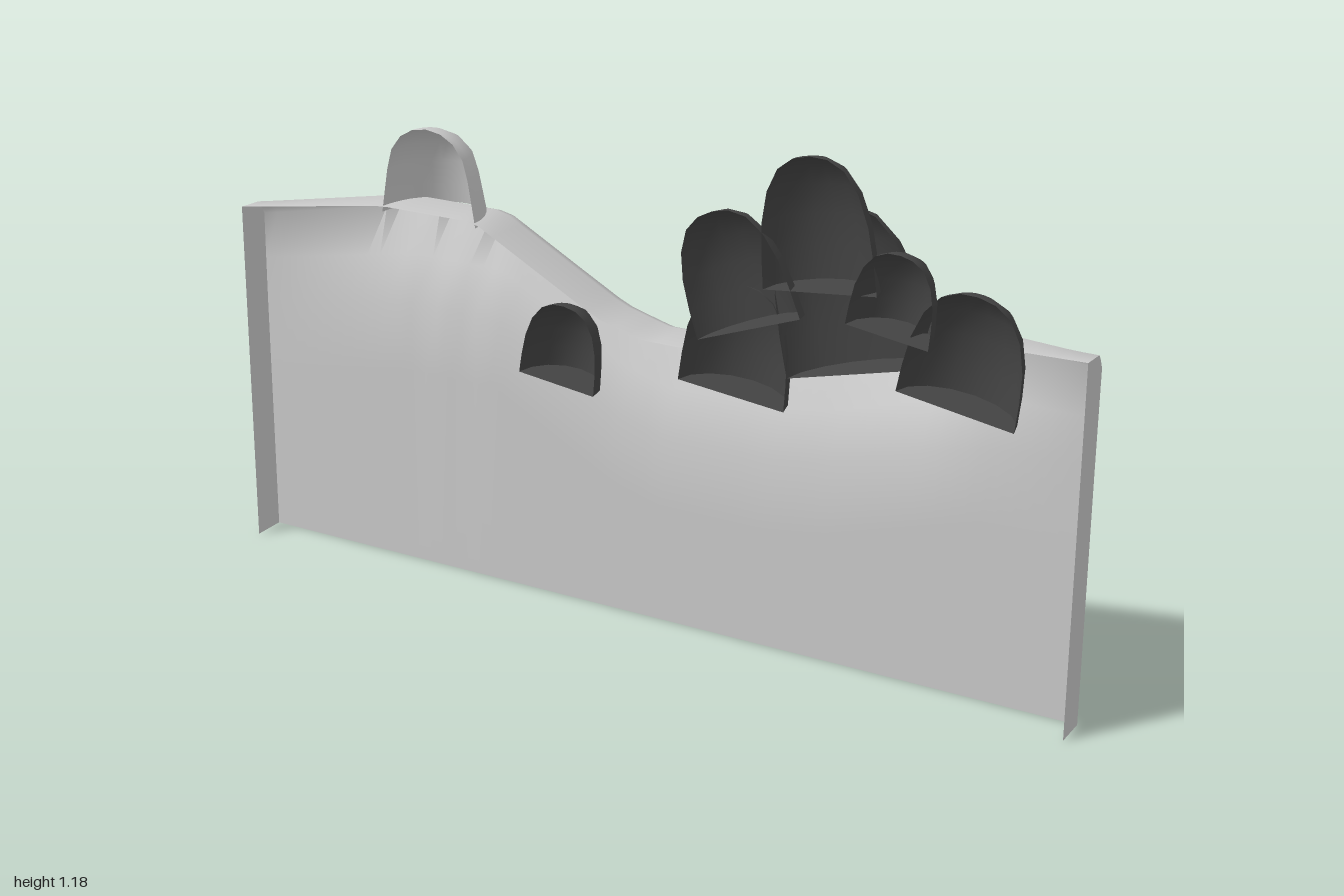
import * as THREE from 'three';
import { toCreasedNormals } from 'three/addons/utils/BufferGeometryUtils.js';

const FRONT = -0.035, BASE = -0.112;
const stone = new THREE.MeshStandardMaterial({ color: 0xcccccc, side: THREE.DoubleSide });
const dark = new THREE.MeshStandardMaterial({ color: 0x444444, side: THREE.DoubleSide });

// Piecewise linear lookup through [x, value] pairs
function lerpTable(table, x) {
  for (let i = 1; i < table.length; i++) {
    const [x0, v0] = table[i - 1], [x1, v1] = table[i];
    if (x <= x1) return v0 + (v1 - v0) * (x - x0) / (x1 - x0);
  }
  return table[table.length - 1][1];
}

const topLine = [[-1, 0.8], [-0.62, 0.86], [-0.38, 0.86], [-0.08, 0.7], [0.03, 0.67],
  [0.28, 0.67], [0.42, 0.69], [0.65, 0.76], [0.77, 0.795], [1, 0.8]];
const backLine = [[-1, -0.114], [-0.96, -0.12], [-0.62, -0.188], [-0.2, -0.184],
  [0.4, -0.184], [0.65, -0.197], [0.95, -0.118], [1, -0.114]];

// Cross-section of the wall at x, from the front of the rim to the ground
function wallSection(x) {
  const t = lerpTable(topLine, x), zb = lerpTable(backLine, x);
  const rib = Math.max(0, 1 - Math.abs(Math.abs(x + 0.5) - 0.06) / 0.05);
  const mid = BASE + (zb - BASE) * 0.45 - 0.008 * rib;
  return [[FRONT, t], [zb * 0.75 + FRONT * 0.25, t - 0.003], [zb + 0.012, t - 0.012],
    [zb, t - 0.035], [mid, t - 0.14], [BASE - 0.006 * rib, t - 0.24],
    [BASE, t - 0.4], [BASE, 0]];
}

// Open shell: back, rolled rim and the two end returns
function wallGeometry() {
  const columns = [];
  const n = 60;
  for (let i = 0; i <= n; i++) {
    const x = -1 + 2 * i / n;
    columns.push(wallSection(x).map(([z, y]) => [x, y, z]));
  }
  const endReturn = (col) => col.map(([x, y]) => [x, y, FRONT]);
  columns.unshift(endReturn(columns[0]));
  columns.push(endReturn(columns[columns.length - 1]));
  const rows = columns[0].length, index = [];
  for (let i = 0; i < columns.length - 1; i++) {
    for (let j = 0; j < rows - 1; j++) {
      const a = i * rows + j, b = a + rows;
      index.push(a, b, a + 1, b, b + 1, a + 1);
    }
  }
  const g = new THREE.BufferGeometry();
  g.setAttribute('position', new THREE.Float32BufferAttribute(columns.flat(2), 3));
  g.setIndex(index);
  return toCreasedNormals(g, 0.8);
}

// Half dome, rounded to the back and open to the front
function halfDome(profile, halfWidth, height, depth, segments) {
  const pts = profile.map(([r, y]) => new THREE.Vector2(r, y));
  const g = new THREE.LatheGeometry(pts, segments, Math.PI / 2, Math.PI);
  g.scale(halfWidth, height, depth);
  return toCreasedNormals(g, 0.9);
}

const boulderProfile = [[0, 0], [1, 0], [0.98, 0.25], [0.93, 0.5], [0.8, 0.73],
  [0.58, 0.9], [0.3, 0.98], [0, 1]];
const turretProfile = [[1, 0], [0.94, 0.22], [0.86, 0.5], [0.76, 0.72],
  [0.56, 0.88], [0.3, 0.97], [0, 1]];

// Boulders: base x, base y, front z, half width, height, tilt in degrees
const boulders = [
  [-0.035, 0.635, 0.195, 0.088, 0.17, -7],
  [0.295, 0.632, 0.068, 0.12, 0.24, -6],
  [0.38, 0.815, 0.16, 0.118, 0.24, 20],
  [0.53, 0.915, 0.16, 0.12, 0.265, 6],
  [0.58, 0.732, 0.068, 0.165, 0.34, 14],
  [0.687, 0.865, 0.195, 0.086, 0.165, -8],
  [0.815, 0.73, 0.16, 0.122, 0.235, -9],
];

export function createModel() {
  const model = new THREE.Group();
  model.name = 'wallWithBoulders';

  const wall = new THREE.Mesh(wallGeometry(), stone);
  wall.name = 'wall';
  model.add(wall);

  const turret = new THREE.Mesh(halfDome(turretProfile, 0.12, 0.2, 0.145, 16), stone);
  turret.name = 'turret';
  turret.position.set(-0.5, 0.845, -0.042);
  model.add(turret);

  const pile = new THREE.Group();
  pile.name = 'boulders';
  boulders.forEach(([x, y, z, w, h, tilt], i) => {
    const boulder = new THREE.Mesh(halfDome(boulderProfile, w, h, 0.1, 8), dark);
    boulder.name = `boulder${i + 1}`;
    boulder.position.set(x, y, z);
    boulder.rotation.z = THREE.MathUtils.degToRad(tilt);
    pile.add(boulder);
  });
  model.add(pile);
  return model;
}
